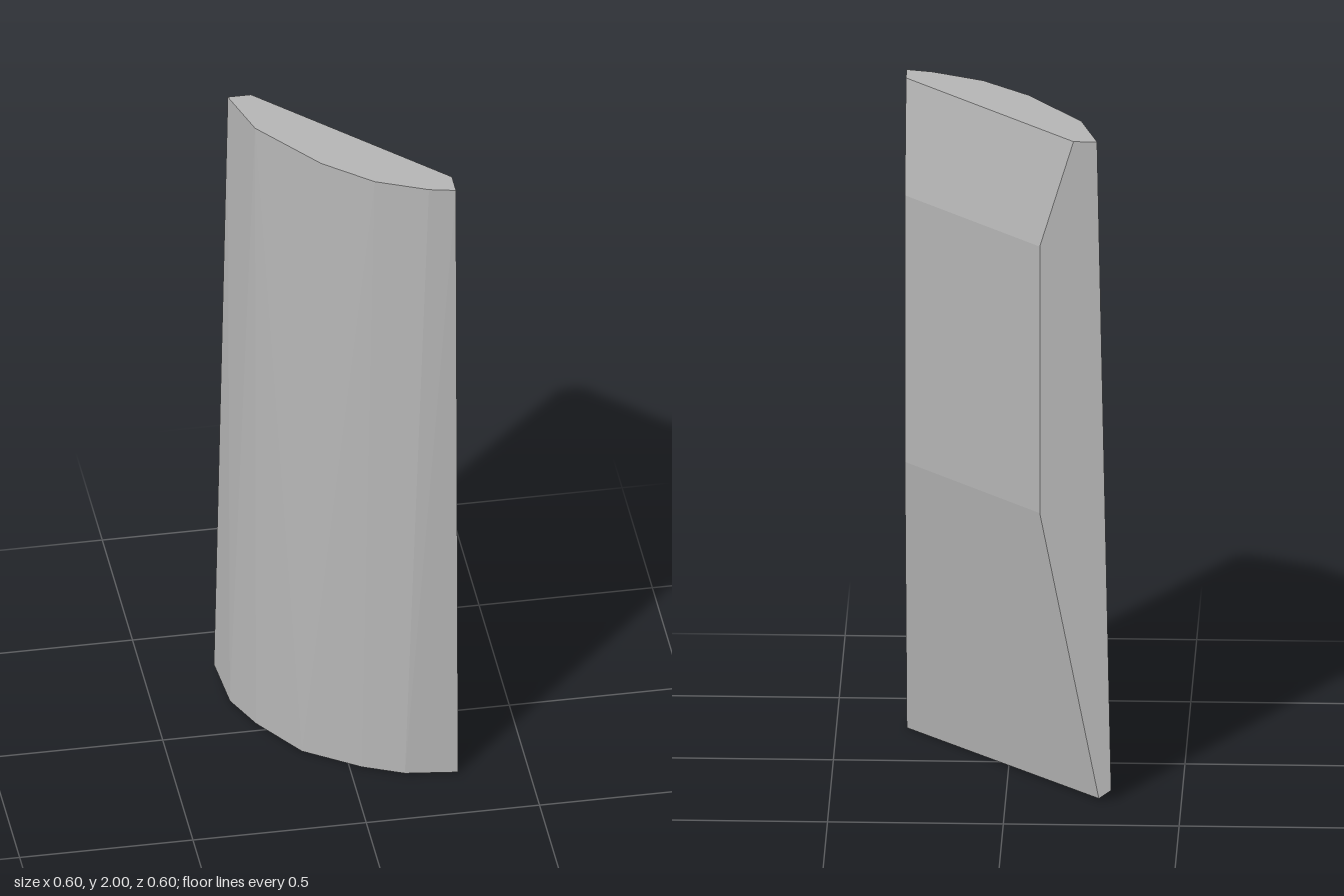
import * as THREE from 'three';
import { ConvexGeometry } from 'three/addons/geometries/ConvexGeometry.js';

export function createModel() {
  const group = new THREE.Group();
  const grey = new THREE.MeshStandardMaterial({ color: 0xb4b4b4 });
  grey.name = 'plain grey';

  // Horizontal outlines as [x, y, z], from the base to the top
  const base = [
    [0.3, 0, 0.265], [0.3, 0, 0.3], [0.15, 0, 0.28], [0.035, 0, 0.228], [-0.12, 0, 0.122],
    [-0.225, 0, -0.035], [-0.28, 0.005, -0.15], [-0.3, 0.03, -0.3], [-0.265, 0.005, -0.3],
  ];
  // The back bulges to a flat panel between these two heights
  const backPanel = [0.87, 1.68].flatMap((y) => [[0.3, y, 0.1], [-0.097, y, -0.3]]);
  const top = [
    [0.3, 2, 0.197], [0.3, 2, 0.265], [0.225, 2, 0.248], [0.08, 2, 0.183],
    [-0.055, 2, 0.068], [-0.21, 2, -0.135], [-0.26, 2, -0.3], [-0.193, 2, -0.3],
  ];

  // Curved front, chamfered back and straight sides form one convex, flat-faceted block
  const points = [...base, ...backPanel, ...top].map((p) => new THREE.Vector3(...p));
  const panel = new THREE.Mesh(new ConvexGeometry(points), grey);
  panel.name = 'curvedCornerPanel';
  group.add(panel);
  return group;
}
